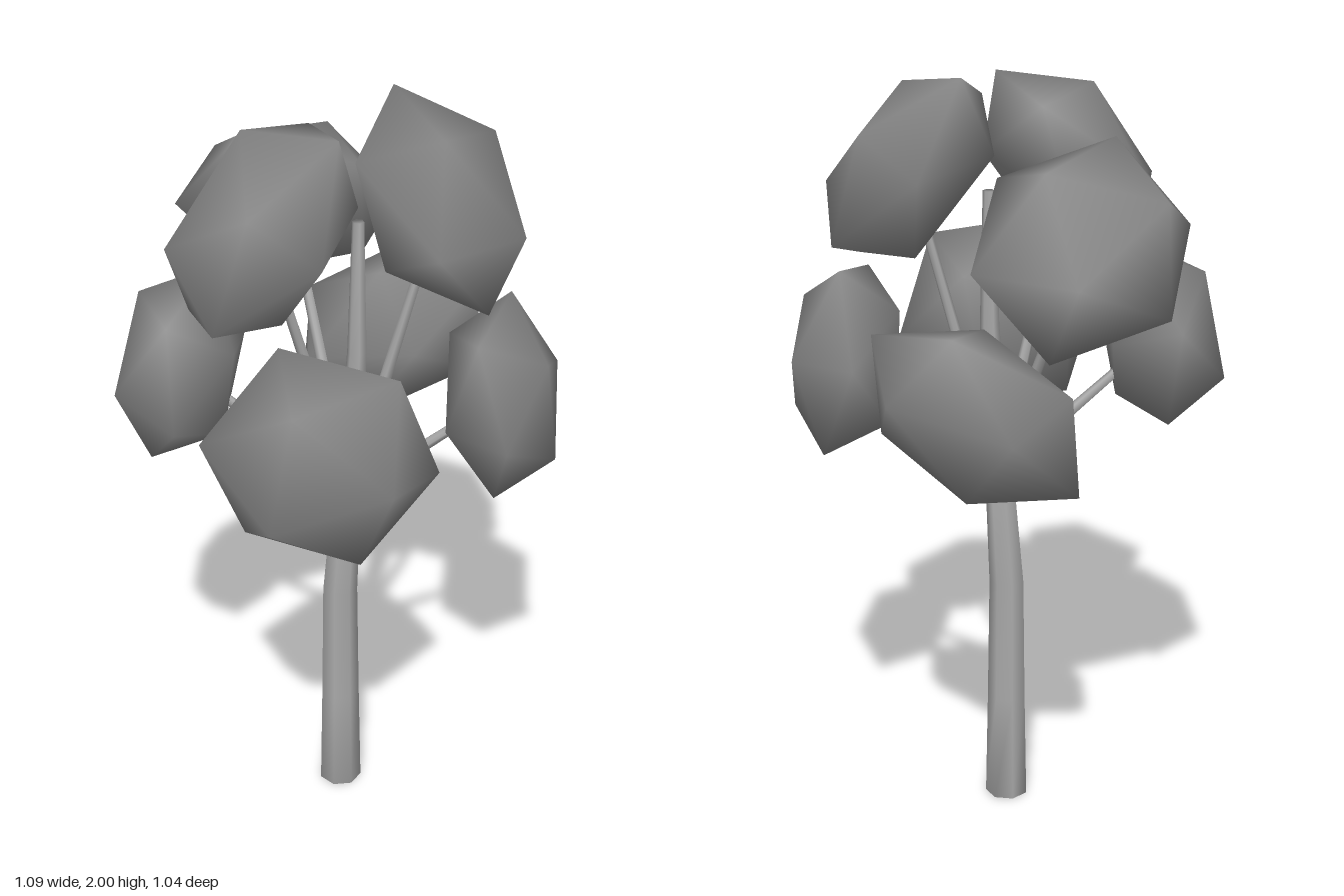
import * as THREE from 'three';
import { ConvexGeometry } from 'three/addons/geometries/ConvexGeometry.js';
import { mergeVertices } from 'three/addons/utils/BufferGeometryUtils.js';

const leafMat = new THREE.MeshStandardMaterial({ color: 0x858585 });
leafMat.name = 'leaf grey';
const barkMat = new THREE.MeshStandardMaterial({ color: 0xaaaaaa });
barkMat.name = 'bark grey';

const vec = (p) => new THREE.Vector3(...p);

// Flattened twenty-sided clump: two triangles and a six-pointed rim, smooth normals
function clumpGeometry(radius, width, depth) {
  const pts = [];
  for (let i = 0; i < 3; i++) {
    const a = (i * Math.PI * 2) / 3;
    for (const [h, r, turn] of [[0.795, 0.607, 0], [0.188, 0.982, 1], [-0.188, 0.982, 0], [-0.795, 0.607, 1]]) {
      const t = a + (turn * Math.PI) / 3;
      pts.push(new THREE.Vector3(Math.cos(t) * r * radius, h * depth, Math.sin(t) * r * width));
    }
  }
  let g = new ConvexGeometry(pts);
  g.deleteAttribute('normal');
  g = mergeVertices(g, 1e-4);
  g.computeVertexNormals();
  return g;
}

// Tapered tube lofted through [x, y, z, radius] stations
function limb(name, stations, sides) {
  const pos = [], index = [];
  const n = stations.length;
  stations.forEach(([x, y, z, r], k) => {
    const a = vec(stations[Math.max(k - 1, 0)].slice(0, 3));
    const b = vec(stations[Math.min(k + 1, n - 1)].slice(0, 3));
    const q = new THREE.Quaternion().setFromUnitVectors(new THREE.Vector3(0, 1, 0), b.sub(a).normalize());
    for (let i = 0; i < sides; i++) {
      const t = (i / sides) * Math.PI * 2;
      const p = new THREE.Vector3(Math.cos(t) * r, 0, Math.sin(t) * r).applyQuaternion(q);
      pos.push(p.x + x, Math.max(p.y + y, 0), p.z + z);
      if (k < n - 1) {
        const j = (i + 1) % sides, lo = k * sides, hi = lo + sides;
        index.push(lo + i, hi + i, lo + j, lo + j, hi + i, hi + j);
      }
    }
  });
  // end caps
  for (let i = 1; i < sides - 1; i++) {
    const top = (n - 1) * sides;
    index.push(0, i, i + 1, top, top + i + 1, top + i);
  }
  const g = new THREE.BufferGeometry();
  g.setAttribute('position', new THREE.Float32BufferAttribute(pos, 3));
  g.setIndex(index);
  g.computeVertexNormals();
  const m = new THREE.Mesh(g, barkMat);
  m.name = name;
  return m;
}

// Each clump: centre, outward direction, direction of one rim corner,
// radius toward that corner, radius across it, depth
const clumps = [
  { name: 'topFrontClump', c: [0.119, 1.76, 0.195], n: [0.38, 0.61, 0.69], v: [0.23, 0.03, -0.195], r: 0.308, w: 0.298, d: 0.18 },
  { name: 'topBackClump', c: [0.1, 1.627, -0.304], n: [0.5, 0.62, -0.6], v: [0.04, 0.16, 0.21], r: 0.275, w: 0.312, d: 0.18 },
  { name: 'topRightClump', c: [-0.26, 1.737, -0.03], n: [-0.7, 0.6, -0.25], v: [-0.08, 0.007, 0.24], r: 0.262, w: 0.312, d: 0.18 },
  { name: 'lowLeftClump', c: [0.32, 1.24, -0.145], n: [0.92, -0.33, -0.24], v: [0.25, 0.36, 0.47], r: 0.32, w: 0.225, d: 0.18 },
  { name: 'lowFrontClump', c: [0.193, 1.26, 0.35], n: [0.56, 0.1, 0.82], v: [0.38, 0.08, -0.26], r: 0.24, w: 0.275, d: 0.16 },
  { name: 'lowRightClump', c: [-0.35, 1.265, 0.248], n: [-0.74, 0, 0.67], v: [0.385, -0.1, 0.415], r: 0.29, w: 0.298, d: 0.16 },
  { name: 'lowBackClump', c: [-0.305, 1.31, -0.285], n: [-0.6, 0.17, -0.75], v: [-0.87, -0.25, 0.5], r: 0.262, w: 0.262, d: 0.17 },
];

export function createModel() {
  const tree = new THREE.Group();
  tree.name = 'tree';

  // Trunk leaning slightly forward at the fork
  tree.add(limb('trunk', [
    [-0.03, 0, 0.005, 0.058],
    [-0.032, 0.3, 0.006, 0.052],
    [-0.033, 0.64, 0.006, 0.047],
    [-0.022, 0.96, 0.022, 0.038],
  ], 7));

  // Upright leader above the fork
  tree.add(limb('leader', [
    [-0.022, 0.94, 0.025, 0.034],
    [-0.012, 1.35, 0.045, 0.025],
    [-0.01, 1.7, 0.045, 0.015],
  ], 6));

  for (const { name, c, n, v, r, w, d } of clumps) {
    // Leaf clump turned so its flat axis points outward
    const y = vec(n).normalize();
    const x = vec(v).addScaledVector(y, -vec(v).dot(y)).normalize();
    const z = new THREE.Vector3().crossVectors(x, y);
    const mesh = new THREE.Mesh(clumpGeometry(r, w, d), leafMat);
    mesh.name = name;
    mesh.quaternion.setFromRotationMatrix(new THREE.Matrix4().makeBasis(x, y, z));
    mesh.position.set(...c);
    tree.add(mesh);

    // Thin branch from the fork into the clump
    tree.add(limb(name.replace('Clump', 'Branch'), [
      [-0.022, 0.94, 0.03, 0.019],
      [...c, 0.011],
    ], 5));
  }
  return tree;
}
